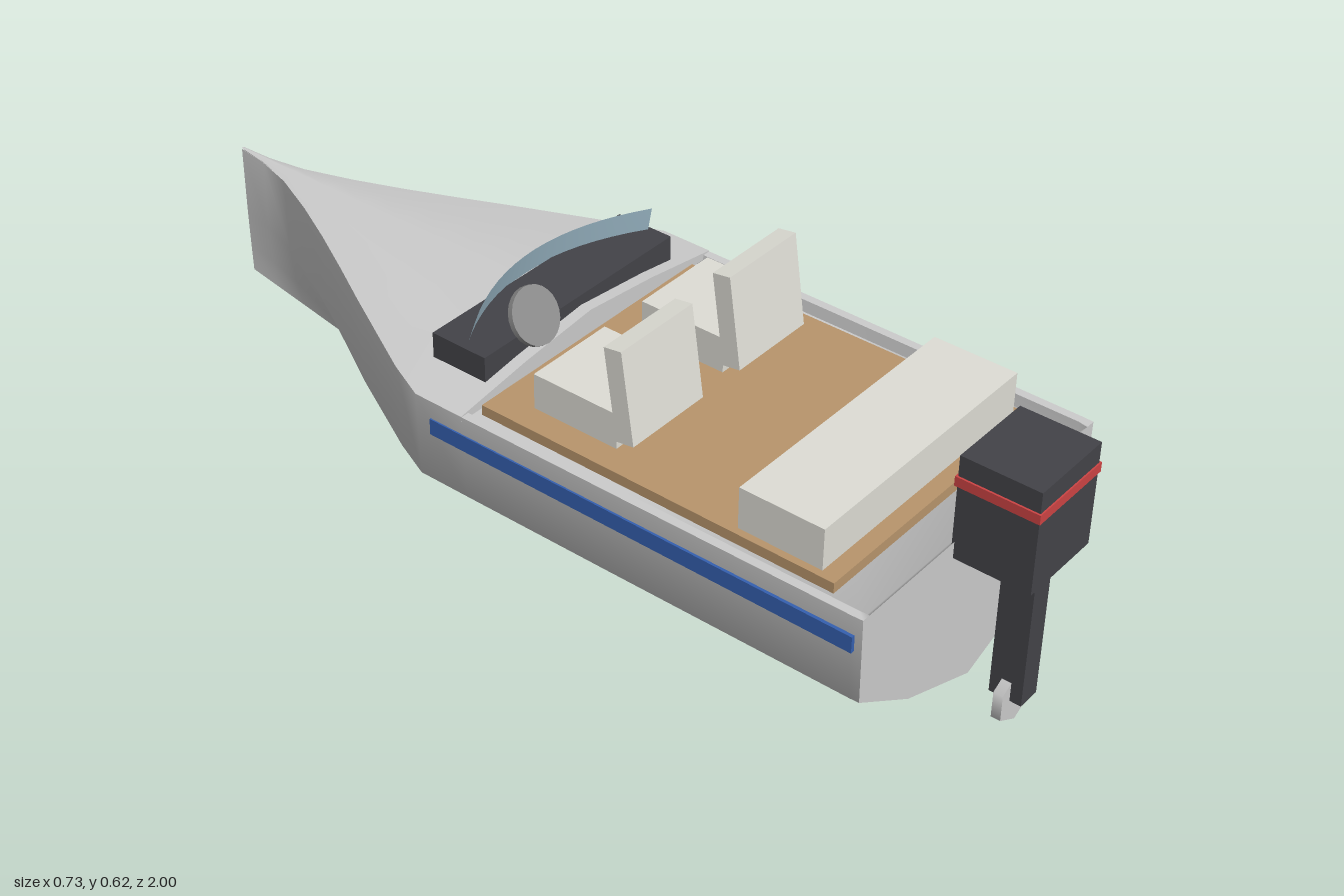
import * as THREE from 'three';
import { toCreasedNormals } from 'three/addons/utils/BufferGeometryUtils.js';

const mat = (color) => new THREE.MeshStandardMaterial({ color });
const GREY = mat(0xcccccc), DARK = mat(0x434348), SEAT = mat(0xdeddd5);
const WOOD = mat(0xb8956c), RED = mat(0xcc4444), BLUE = mat(0x3560b0);
const SHEET = new THREE.MeshStandardMaterial({ color: 0xcccccc, side: THREE.DoubleSide });
const GLASS = new THREE.MeshStandardMaterial({ color: 0xa9c8d8, side: THREE.DoubleSide });

// Half-width of the boat along its length: [z, half width]
const STATIONS = [[0.84, 0.36], [0.82, 0.361], [0.3, 0.364], [-0.05, 0.365], [-0.165, 0.365],
  [-0.25, 0.328], [-0.35, 0.276], [-0.45, 0.224], [-0.55, 0.17], [-0.65, 0.118],
  [-0.75, 0.07], [-0.85, 0.029], [-0.93, 0.01], [-1, 0.003]];
const keelY = (z) => 0.05 + 0.105 * Math.max(0, (-0.45 - z) / 0.55);
const sheerY = (z) => 0.41 + 0.045 * Math.max(0, (-0.2 - z) / 0.8);

// Joins rows of points (all the same length) into a surface
function loft(rows, closed) {
  const n = rows[0].length, index = [], pos = rows.flat();
  const cols = closed ? n : n - 1;
  for (let i = 0; i < rows.length - 1; i++) {
    for (let j = 0; j < cols; j++) {
      const a = i * n + j, b = i * n + (j + 1) % n;
      index.push(a, a + n, b, b, a + n, b + n);
    }
  }
  if (closed) { // fan caps on both ends
    [0, rows.length - 1].forEach((r, end) => {
      const c = pos.length;
      pos.push([0, (keelY(rows[r][0][2]) + sheerY(rows[r][0][2])) / 2, rows[r][0][2]]);
      for (let j = 0; j < n; j++) {
        const p = r * n + j, q = r * n + (j + 1) % n;
        index.push(c, ...(end ? [q, p] : [p, q]));
      }
    });
  }
  const g = new THREE.BufferGeometry();
  g.setAttribute('position', new THREE.Float32BufferAttribute(pos.flat(), 3));
  g.setIndex(index);
  g.computeVertexNormals();
  return g;
}

// Cross-section of the hull: keel, bilge, chine, gunwale and shallow cockpit tray
function hullSection([z, w], i) {
  const k = keelY(z), s = sheerY(z);
  const y = (f) => k + (s - k) * f;
  const tray = i === 0 ? s : s - 0.025;
  const half = [[0.55, y(0.208)], [0.985, y(0.486)], [1, s], [0.95, s], [0.94, tray]];
  const right = half.map(([x, h]) => [x * w, h, z]);
  return [[0, k, z], ...right, ...right.map(([x, h]) => [-x, h, z]).reverse()];
}

export function createModel() {
  const model = new THREE.Group();
  const add = (name, geo, material, x = 0, y = 0, z = 0, parent = model) => {
    const m = new THREE.Mesh(geo, material);
    m.name = name;
    m.position.set(x, y, z);
    parent.add(m);
    return m;
  };
  // Box given by its limits on each axis
  const box = (name, material, [x0, x1], [y0, y1], [z0, z1], parent) =>
    add(name, new THREE.BoxGeometry(x1 - x0, y1 - y0, z1 - z0), material,
      (x0 + x1) / 2, (y0 + y1) / 2, (z0 + z1) / 2, parent);

  // Hull
  add('hull', toCreasedNormals(loft(STATIONS.map(hullSection), true), 1.1), GREY);

  // Crowned foredeck with its closing panel towards the cockpit
  const deckRows = STATIONS.slice(3).map(([z, w]) => {
    const s = sheerY(z) + 0.002, crown = Math.max(s, 0.458);
    return [1, 0.5, 0, -0.5, -1].map((t) => [t * w, s + (crown - s) * (1 - Math.abs(t) ** 1.3), z]);
  });
  add('foredeck', loft(deckRows, false), SHEET);
  const sill = deckRows[0].map(([x, , z]) => [x, 0.4, z]);
  add('deckFront', loft([sill, deckRows[0]], false), SHEET);

  // Cockpit floor and side stripes
  box('floor', WOOD, [-0.31, 0.31], [0.375, 0.407], [-0.05, 0.745]);
  for (const s of [-1, 1]) {
    const stripe = box('sideStripe', BLUE, [-0.006, 0.006], [0.335, 0.37], [-0.13, 0.825]);
    stripe.position.x = s * 0.361;
  }

  // Two front seats with raked backrests
  for (const s of [-1, 1]) {
    const seat = new THREE.Group();
    seat.name = 'seat';
    seat.position.x = s * 0.155;
    model.add(seat);
    box('seatBase', SEAT, [-0.1, 0.1], [0.4, 0.483], [0.03, 0.225], seat);
    const back = box('backrest', SEAT, [-0.1, 0.1], [0.425, 0.62], [0.21, 0.25], seat);
    back.rotation.x = -0.15;
  }
  box('rearBench', SEAT, [-0.295, 0.295], [0.4, 0.495], [0.53, 0.71]);

  // Dashboard, curved windshield and steering wheel
  box('dashboard', DARK, [-0.272, 0.272], [0.425, 0.48], [-0.205, -0.075]);
  const glassLow = [], glassHigh = [];
  for (let i = 0; i <= 16; i++) {
    const t = i / 8 - 1;
    glassLow.push([t * 0.265, 0.475, -0.212 + 0.085 * t * t]);
    glassHigh.push([t * 0.256, 0.538, -0.188 + 0.078 * t * t]);
  }
  add('windshield', loft([glassLow, glassHigh], false), GLASS);
  const wheel = add('steeringWheel', new THREE.CylinderGeometry(0.058, 0.058, 0.012, 24),
    mat(0x8a8a8a), -0.15, 0.518, -0.06);
  wheel.rotation.x = 1.03;

  // Outboard motor
  const motor = new THREE.Group();
  motor.name = 'outboardMotor';
  model.add(motor);
  box('cowling', DARK, [-0.092, 0.092], [0.375, 0.593], [0.835, 0.997], motor);
  box('cowlingBand', RED, [-0.096, 0.096], [0.53, 0.55], [0.831, 1], motor);
  box('motorLeg', DARK, [-0.025, 0.025], [0.06, 0.38], [0.9, 0.968], motor);
  const propeller = add('propeller', new THREE.CylinderGeometry(0.058, 0.058, 0.02, 6),
    GREY, 0, 0.058, 0.934, motor);
  propeller.rotation.x = Math.PI / 2;

  return model;
}
